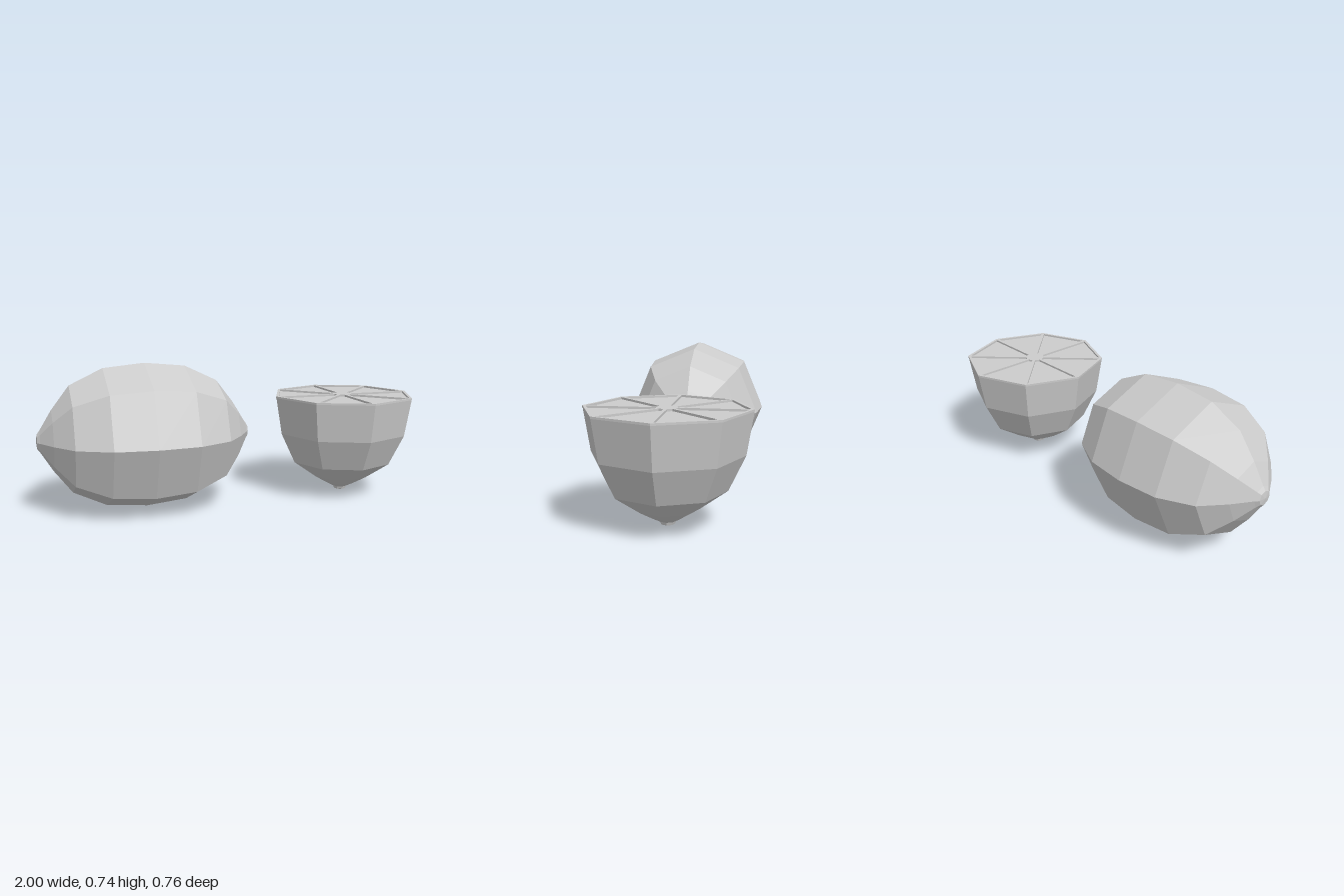
import * as THREE from 'three';

const SIDES = 8;
const material = new THREE.MeshStandardMaterial({ color: 0xcccccc, flatShading: true });

const lathe = (name, points) => {
  const profile = points.map(([r, y]) => new THREE.Vector2(r, y));
  const mesh = new THREE.Mesh(new THREE.LatheGeometry(profile, SIDES), material);
  mesh.name = name;
  return mesh;
};

// Whole fruit: half profile [radius, distance from the middle], mirrored and laid along x
function wholeFruit() {
  const half = [[0.347, 0.205], [0.268, 0.37], [0.152, 0.458], [0.055, 0.517], [0.036, 0.531], [0, 0.5355]];
  const points = [
    ...half.map(([r, d]) => [r, -d]).reverse(),
    [0.367, 0],
    ...half,
  ];
  const fruit = lathe('wholeFruit', points);
  fruit.rotation.z = -Math.PI / 2;
  fruit.position.set(-0.4645, 0.37, 0);
  return fruit;
}

// Cut fruit: peel, recessed pulp and a raised web of membranes
function cutFruit() {
  const group = new THREE.Group();
  group.name = 'cutFruit';
  const top = 0.538, depth = 0.01, radius = 0.382;

  group.add(lathe('peel', [
    [0, 0], [0.033, 0.01], [0.038, 0.024], [0.08, 0.046], [0.147, 0.085],
    [0.271, 0.172], [0.348, 0.333], [radius, top],
  ]));

  const pulp = new THREE.Mesh(new THREE.CircleGeometry(radius - 0.008, SIDES), material);
  pulp.name = 'pulp';
  pulp.rotation.x = -Math.PI / 2;
  pulp.position.y = top - depth;
  group.add(pulp);

  // Rim and membranes: an octagon with one wedge-shaped hole per segment
  const step = (Math.PI * 2) / SIDES;
  const polar = (r, a) => new THREE.Vector2(r * Math.cos(a), r * Math.sin(a));
  const shape = new THREE.Shape(Array.from({ length: SIDES }, (_, i) => polar(radius, i * step)));
  const halfWidth = 0.008;
  for (let i = 0; i < SIDES; i++) {
    const a = i * step, b = a + step;
    const inner = 0.05, outer = radius - 0.018;
    const corner = (r, angle, side) =>
      polar(r, angle).add(polar(halfWidth, angle + side * Math.PI / 2));
    shape.holes.push(new THREE.Path([
      corner(inner, a, 1), corner(inner, b, -1), corner(outer, b, -1), corner(outer, a, 1),
    ]));
  }
  const web = new THREE.Mesh(
    new THREE.ExtrudeGeometry(shape, { depth, bevelEnabled: false }), material);
  web.name = 'rimAndMembranes';
  web.rotation.x = -Math.PI / 2;
  web.position.y = top - depth;
  group.add(web);

  group.position.x = 0.618;
  return group;
}

export function createModel() {
  const model = new THREE.Group();
  model.name = 'citrusFruit';
  model.add(wholeFruit(), cutFruit());
  return model;
}
